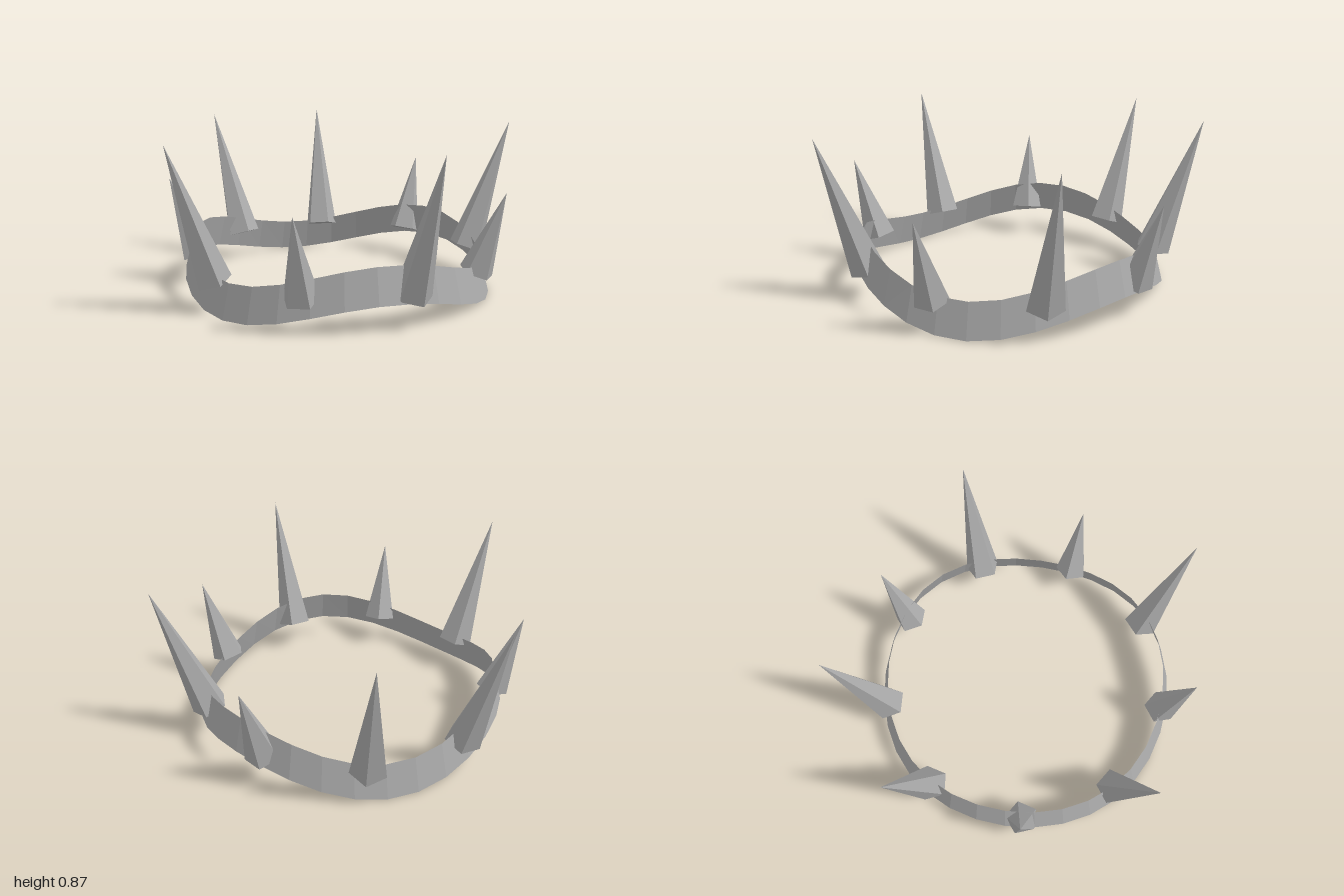
import * as THREE from 'three';

const CENTER_X = 0.03, CENTER_Z = -0.055;

export function createModel() {
  const crown = new THREE.Group();
  crown.name = 'crown';
  const metal = new THREE.MeshStandardMaterial({ color: 0xaaaaaa, flatShading: true, side: THREE.DoubleSide });
  metal.name = 'greyMetal';

  // Thin band, slightly narrower at the top, waving three times around
  const bandGeometry = new THREE.CylinderGeometry(0.785, 0.832, 0.18, 32, 1, true);
  const p = bandGeometry.attributes.position;
  for (let i = 0; i < p.count; i++) {
    const angle = Math.atan2(p.getX(i), p.getZ(i));
    p.setY(i, p.getY(i) + 0.09 + 0.07 * (1 - Math.cos(3 * angle)));
  }
  bandGeometry.computeVertexNormals();
  const band = new THREE.Mesh(bandGeometry, metal);
  band.name = 'band';
  band.position.set(CENTER_X, 0, CENTER_Z);
  crown.add(band);

  // Point at a given angle and distance from the crown's axis
  const around = (angle, radius, y) => new THREE.Vector3(
    CENTER_X + radius * Math.cos(angle), y, CENTER_Z - radius * Math.sin(angle));

  // Nine five-sided spikes leaning outward, tall and short in turn
  const up = new THREE.Vector3(0, 1, 0);
  for (let i = 0; i < 9; i++) {
    const tall = i % 2 === 0;
    const angle = Math.PI + i * Math.PI * 2 / 9;
    const base = around(angle, 0.785, 0.16);
    const tip = tall ? around(angle, 1.03, 0.87) : around(angle, 0.925, 0.59);
    const axis = tip.clone().sub(base);
    const geometry = new THREE.ConeGeometry(tall ? 0.098 : 0.092, axis.length(), 5);
    geometry.translate(0, axis.length() / 2, 0);
    const spike = new THREE.Mesh(geometry, metal);
    spike.name = tall ? 'tallSpike' : 'shortSpike';
    spike.position.copy(base);
    spike.quaternion.setFromUnitVectors(up, axis.normalize());
    crown.add(spike);
  }
  return crown;
}
